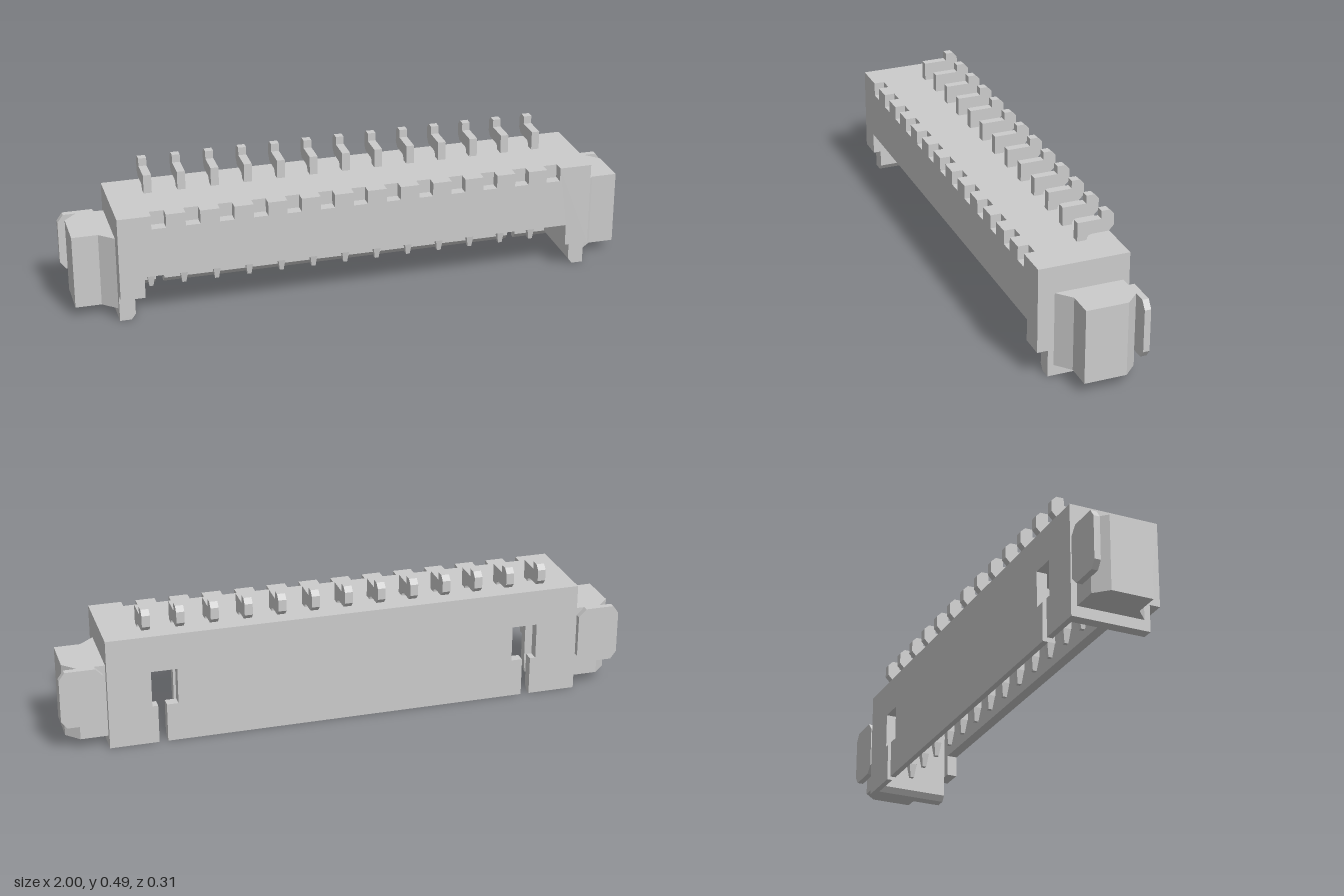
import * as THREE from 'three';

const mat = new THREE.MeshStandardMaterial({ color: 0xcccccc, flatShading: true, side: THREE.DoubleSide });

const shapeOf = pts => new THREE.Shape(pts.map(p => new THREE.Vector2(p[0], p[1])));

function mesh(name, geo) {
  const m = new THREE.Mesh(geo, mat);
  m.name = name;
  return m;
}

function box(name, x0, x1, y0, y1, z0, z1) {
  const g = new THREE.BoxGeometry(x1 - x0, y1 - y0, z1 - z0);
  return mesh(name, g.translate((x0 + x1) / 2, (y0 + y1) / 2, (z0 + z1) / 2));
}

// Shape drawn in x, y and extruded from z0 to z1
function alongZ(name, shape, z0, z1) {
  const g = new THREE.ExtrudeGeometry(shape, { depth: z1 - z0, bevelEnabled: false, curveSegments: 6 });
  return mesh(name, g.translate(0, 0, z0));
}

// Shape drawn in (-z, y) and extruded from x0 to x1
function alongX(name, shape, x0, x1) {
  const g = new THREE.ExtrudeGeometry(shape, { depth: x1 - x0, bevelEnabled: false, curveSegments: 6 });
  return mesh(name, g.rotateY(Math.PI / 2).translate(x0, 0, 0));
}

// Shape drawn in (x, -z) and extruded from y0 to y1
function alongY(name, shape, y0, y1) {
  const g = new THREE.ExtrudeGeometry(shape, { depth: y1 - y0, bevelEnabled: false });
  return mesh(name, g.rotateX(-Math.PI / 2).translate(0, y0, 0));
}

const W = 0.84, TOP = 0.394, BACK = -0.157, STEP = 0.121, FRONT = 0.158;
const PINS = 13, PITCH = 1.4 / (PINS - 1);
const pinX = i => (i - (PINS - 1) / 2) * PITCH;

function createHousing() {
  const g = new THREE.Group();
  g.name = 'housing';
  g.add(box('roof', -W, W, 0.28, TOP, BACK, STEP));

  // Front wall: notched along its top, raised arch along its bottom
  const front = [[-W, 0.095], [-0.755, 0.095], [-0.755, 0.172], [0.755, 0.172], [0.755, 0.095], [W, 0.095], [W, TOP]];
  for (let i = PINS - 1; i >= 0; i--) {
    const x = pinX(i), h = 0.025;
    front.push([x + h, TOP], [x + h, 0.346], [x - h, 0.346], [x - h, TOP]);
  }
  front.push([-W, TOP]);
  g.add(alongZ('frontWall', shapeOf(front), STEP, FRONT));

  // Back wall: two windows, each with a slot running down to the bottom edge
  const half = [[0.64, 0.02], [0.64, 0.137], [0.6, 0.137], [0.6, 0.265],
    [0.69, 0.265], [0.69, 0.137], [0.67, 0.137], [0.67, 0.02], [W, 0.02], [W, 0.3]];
  const left = half.map(([x, y]) => [-x, y]).reverse();
  g.add(alongZ('backWall', shapeOf([...half, ...left]), BACK, -0.12));

  // Bottom edge of the back wall, bevelled on its inner side
  const edge = shapeOf([[-BACK, 0], [0.137, 0], [0.12, 0.02], [-BACK, 0.02]]);
  for (const [a, b] of [[-0.8, -0.67], [-0.64, 0.64], [0.67, 0.8]]) g.add(alongX('backWallEdge', edge, a, b));

  // End walls with the same inner bevel
  for (const s of [-1, 1]) {
    const end = [[W, 0], [0.8, 0], [0.785, 0.02], [0.785, 0.29], [W, 0.29]].map(([x, y]) => [s * x, y]);
    g.add(alongZ('endWall', shapeOf(end), BACK, STEP));
  }
  return g;
}

// Side ear and its thin solder tab
function createEar(s) {
  const g = new THREE.Group();
  g.name = s > 0 ? 'leftEar' : 'rightEar';
  const plan = [[0.835, -0.105], [0.89, -0.056], [0.98, -0.056], [0.98, 0.09], [0.935, 0.136], [0.835, 0.136]];
  g.add(alongY('earBlock', shapeOf(plan.map(([x, y]) => [s * x, y])), 0.038, 0.3));
  const tab = [[0.85, 0.122], [0.877, 0.095], [0.98, 0.095], [1, 0.122], [1, 0.272], [0.98, 0.3], [0.877, 0.3], [0.85, 0.272]];
  g.add(alongZ('solderTab', shapeOf(tab.map(([x, y]) => [s * x, y])), BACK, -0.135));
  return g;
}

// Contact pin: bent solder foot above the roof, tapered blade in the cavity
function createPin(x) {
  const g = new THREE.Group();
  g.name = 'pin';
  const foot = new THREE.Shape();
  foot.moveTo(0.03, 0.38);
  foot.lineTo(0.063, 0.38);
  foot.lineTo(0.063, 0.395);
  foot.quadraticCurveTo(0.064, 0.413, 0.082, 0.413);
  for (const [a, b] of [[0.14, 0.413], [0.157, 0.431], [0.157, 0.471], [0.14, 0.488],
    [0.113, 0.488], [0.113, 0.46], [0.03, 0.46]]) foot.lineTo(a, b);
  g.add(alongX('foot', foot, -0.014, 0.014));
  g.add(box('blade', -0.014, 0.014, 0.085, 0.29, -0.063, -0.033));
  const tip = new THREE.CylinderGeometry(0.014 * Math.SQRT2, 0.007 * Math.SQRT2, 0.05, 4);
  tip.rotateY(Math.PI / 4).translate(0, 0.06, -0.048);
  g.add(mesh('tip', tip));
  g.position.x = x;
  return g;
}

export function createModel() {
  const model = new THREE.Group();
  model.name = 'pinHeader';
  model.add(createHousing(), createEar(1), createEar(-1));
  for (let i = 0; i < PINS; i++) model.add(createPin(pinX(i)));
  return model;
}
